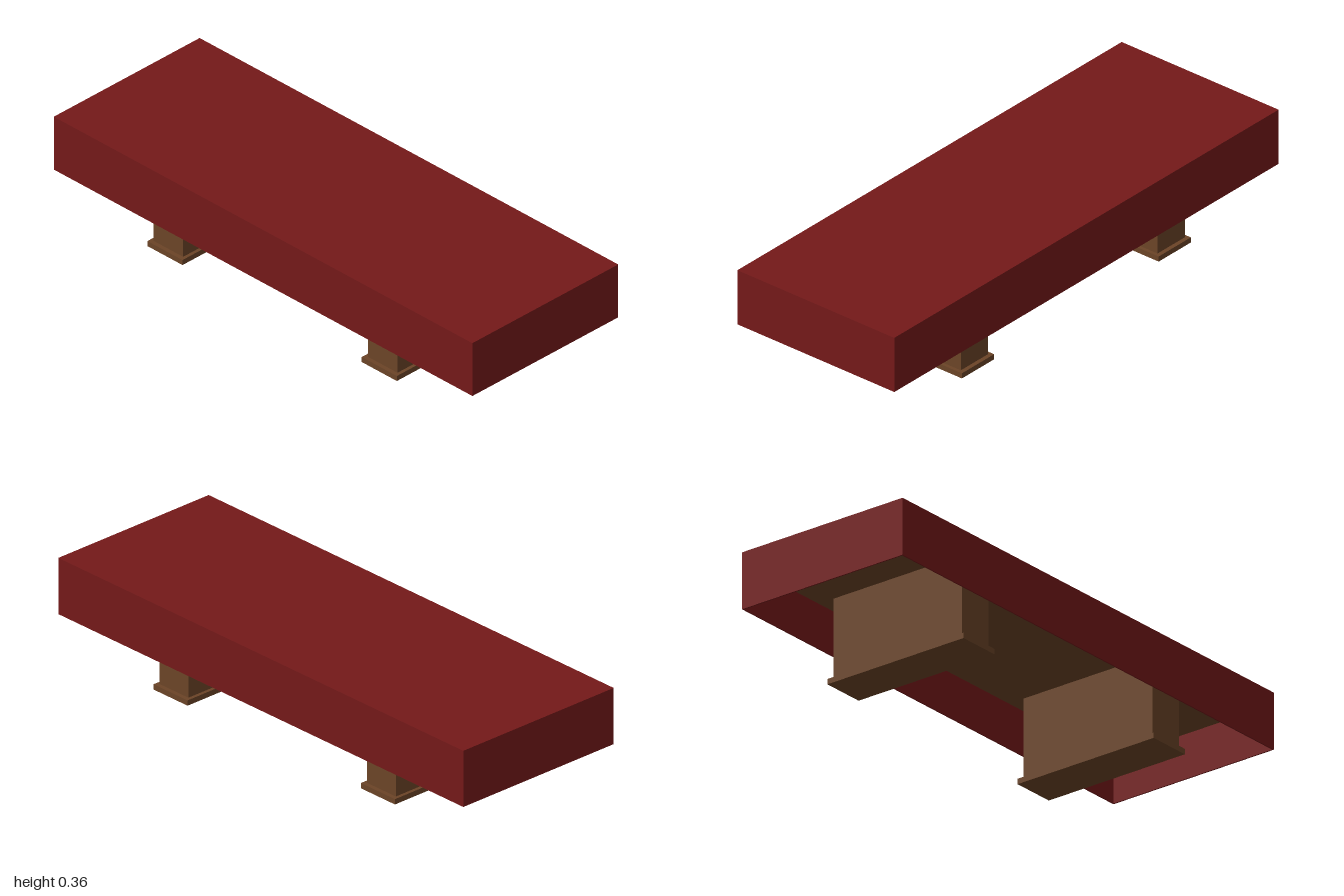
import * as THREE from 'three';

export function createModel() {
  const model = new THREE.Group();
  const cloth = new THREE.MeshStandardMaterial({ color: 0x741919 });
  const wood = new THREE.MeshStandardMaterial({ color: 0x6b4427 });

  // Box given by its size, bottom height and z centre
  function box(parent, name, material, [w, h, d], bottom, z = 0, x = 0) {
    const mesh = new THREE.Mesh(new THREE.BoxGeometry(w, h, d), material);
    mesh.name = name;
    mesh.position.set(x, bottom + h / 2, z);
    parent.add(mesh);
  }

  const W = 0.696, L = 2, TOP = 0.364, HEM = 0.152, T = 0.005;
  const underside = 0.319;

  // Tablecloth: thin top sheet with four hanging sides, open below
  const tablecloth = new THREE.Group();
  tablecloth.name = 'tablecloth';
  model.add(tablecloth);
  const drop = TOP - T - HEM;
  box(tablecloth, 'clothTop', cloth, [W, T, L], TOP - T);
  for (const s of [1, -1]) {
    box(tablecloth, s > 0 ? 'clothLeft' : 'clothRight', cloth, [T, drop, L], HEM, 0, s * (W - T) / 2);
    box(tablecloth, s > 0 ? 'clothFront' : 'clothBack', cloth, [W - 2 * T, drop, T], HEM, s * (L - T) / 2);
  }

  // Wooden board under the cloth
  box(model, 'tableTop', wood, [W - 2 * T, TOP - T - underside, L - 2 * T], underside);

  // Two slab legs, each on a wider foot
  for (const [name, z] of [['front', 0.502], ['back', -0.522]]) {
    const leg = new THREE.Group();
    leg.name = name + 'Leg';
    box(leg, name + 'Post', wood, [0.558, underside - 0.02, 0.142], 0.02, z);
    box(leg, name + 'Foot', wood, [0.59, 0.02, 0.168], 0, z);
    model.add(leg);
  }
  return model;
}
